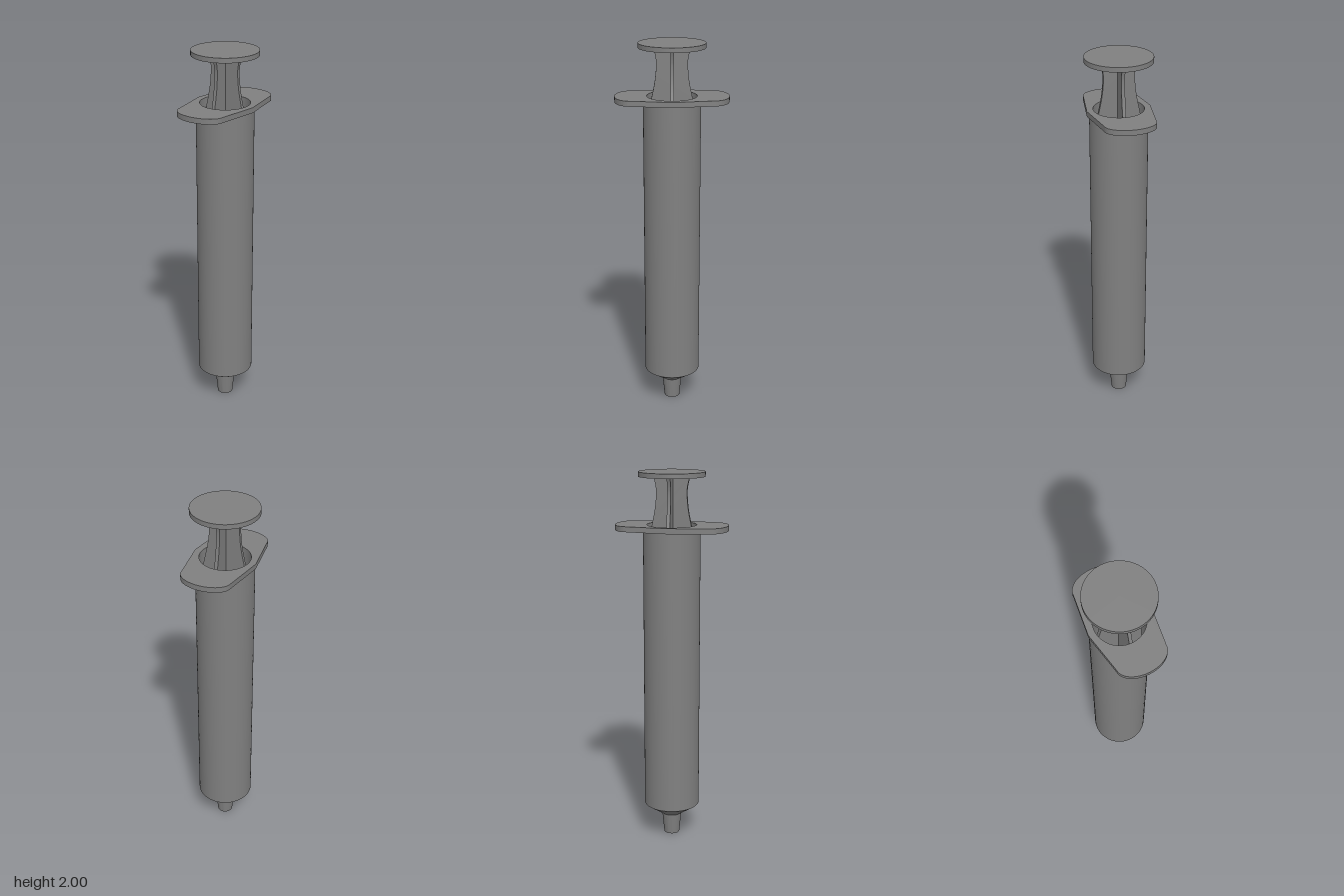
import * as THREE from 'three';
import { toCreasedNormals } from 'three/addons/utils/BufferGeometryUtils.js';

export function createModel() {
  const group = new THREE.Group();
  const grey = new THREE.MeshStandardMaterial({ color: 0x808080 });
  grey.name = 'grey plastic';

  const add = (name, geometry) => {
    const mesh = new THREE.Mesh(geometry, grey);
    mesh.name = name;
    group.add(mesh);
    return mesh;
  };
  const lathe = (points) => toCreasedNormals(
    new THREE.LatheGeometry(points.map(([r, y]) => new THREE.Vector2(r, y)), 64), 0.5);

  // Hollow barrel with tapered shoulder and nozzle: outside upwards, bore downwards
  add('barrel', lathe([
    [0.034, 0], [0.042, 0], [0.053, 0.115], [0.15, 0.18], [0.15, 1.7],
    [0.13, 1.7], [0.13, 0.19], [0.034, 0.125], [0.034, 0],
  ]));

  // Finger flange with rounded ends and a hole for the plunger
  const outline = new THREE.Shape();
  outline.moveTo(0.166, 0);
  outline.lineTo(0.132, 0.215);
  outline.absellipse(0, 0.215, 0.132, 0.082, 0, Math.PI, false);
  outline.lineTo(-0.166, 0);
  outline.lineTo(-0.132, -0.215);
  outline.absellipse(0, -0.215, 0.132, 0.082, Math.PI, Math.PI * 2, false);
  outline.closePath();
  const hole = new THREE.Path();
  hole.absarc(0, 0, 0.13, 0, Math.PI * 2, true);
  outline.holes.push(hole);
  const flange = new THREE.ExtrudeGeometry(outline, { depth: 0.028, bevelEnabled: false, curveSegments: 32 });
  flange.rotateX(-Math.PI / 2);
  add('fingerFlange', toCreasedNormals(flange, 0.5)).position.y = 1.7;

  // Waisted plunger ribs, crossed at right angles
  const rib = new THREE.Shape();
  rib.moveTo(-0.12, 0.29);
  rib.lineTo(0.12, 0.29);
  rib.lineTo(0.12, 1.65);
  rib.bezierCurveTo(0.1, 1.75, 0.082, 1.8, 0.081, 1.9);
  rib.quadraticCurveTo(0.083, 1.94, 0.097, 1.976);
  rib.lineTo(-0.097, 1.976);
  rib.quadraticCurveTo(-0.083, 1.94, -0.081, 1.9);
  rib.bezierCurveTo(-0.082, 1.8, -0.1, 1.75, -0.12, 1.65);
  rib.closePath();
  const ribGeometry = new THREE.ExtrudeGeometry(rib, { depth: 0.018, bevelEnabled: false, curveSegments: 12 });
  ribGeometry.translate(0, 0, -0.009);
  const ribs = toCreasedNormals(ribGeometry, 0.5);
  for (let i = 0; i < 2; i++) add('plungerRib', ribs).rotation.y = i * Math.PI / 2;

  // Piston inside the barrel and thumb rest on top
  add('piston', new THREE.CylinderGeometry(0.129, 0.129, 0.1, 48)).position.y = 0.25;
  add('thumbRest', new THREE.CylinderGeometry(0.174, 0.174, 0.025, 64)).position.y = 1.9875;

  return group;
}
